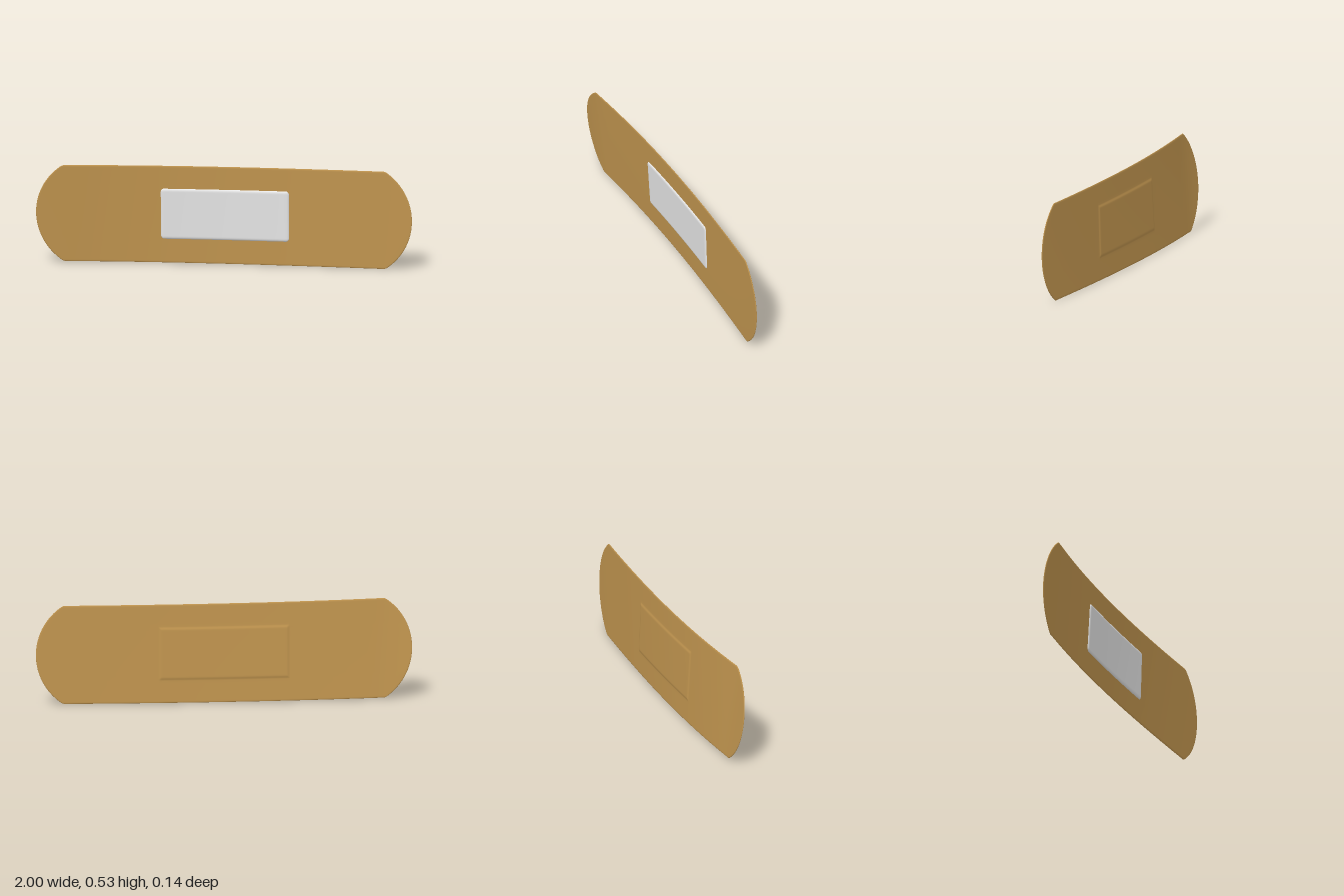
import * as THREE from 'three';
import { mergeVertices } from 'three/addons/utils/BufferGeometryUtils.js';

const clamp01 = (t) => Math.min(1, Math.max(0, t));
const range = (a, b, n) => Array.from({ length: n + 1 }, (_, i) => a + ((b - a) * i) / n);
const mirrored = (list) => [...list.slice(1).reverse().map((v) => -v), ...list];

// Gentle bend along the length, with a twist that fades towards +x
function bend(x, v) {
  const curve = -0.045 - 0.052 * x + 0.0487 * x * x - 0.0107 * x ** 3;
  const tipDroop = 0.4 * Math.max(0, -x - 0.8) ** 2;
  const twist = 0.042 - 0.043 * x + 0.017 * x * x;
  return curve - tipDroop + twist * v;
}

// Closed thin cushion following the bend.
// reach(v): half length at height v; front/back(x, v): offsets from the mid surface
function cushion({ halfHeight, inner, reach, rim, rows, columns, front, back, centerY }) {
  const edgeSteps = [1, 0.6, 0.3, 0.1, 0];
  const vs = mirrored(rows);
  const xsAt = (v) => {
    const end = reach(v);
    const blend = [0.25, 0.5, 0.75].map((t) => inner + (end - rim - inner) * t);
    return mirrored([...columns, ...blend, ...edgeSteps.map((e) => end - rim * e)]);
  };
  const positions = [];
  const index = [];
  const n = xsAt(0).length;
  for (const side of [1, -1]) {
    const start = positions.length / 3;
    vs.forEach((v, j) => {
      xsAt(v).forEach((x, i) => {
        const d = Math.min(halfHeight - Math.abs(v), reach(v) - Math.abs(x));
        const k = Math.sqrt(Math.max(0, 1 - (1 - clamp01(d / rim)) ** 2));
        const offset = side > 0 ? front(x, v) : back(x, v);
        positions.push(x, centerY - 0.003 * x + v, bend(x, v) + offset * k);
        if (i < n - 1 && j < vs.length - 1) {
          const a = start + j * n + i, b = a + 1, c = b + n, e = a + n;
          if (side > 0) index.push(a, b, c, a, c, e);
          else index.push(a, c, b, a, e, c);
        }
      });
    });
  }
  const geometry = new THREE.BufferGeometry();
  geometry.setAttribute('position', new THREE.Float32BufferAttribute(positions, 3));
  geometry.setIndex(index);
  const welded = mergeVertices(geometry, 1e-5);
  welded.computeVertexNormals();
  return welded;
}

export function createModel() {
  const tan = new THREE.MeshStandardMaterial({ color: 0xc1954f });
  tan.name = 'tan';
  const white = new THREE.MeshStandardMaterial({ color: 0xe8e8e8 });
  white.name = 'white';
  const group = new THREE.Group();
  group.name = 'adhesiveBandage';

  const add = (name, geometry, material) => {
    const mesh = new THREE.Mesh(geometry, material);
    mesh.name = name;
    group.add(mesh);
  };

  // Strip: arc ends meeting the long edges in small fillets, pad pressed through the back
  const H = 0.2645;
  const stripReach = (v) => {
    const y = Math.abs(v);
    return y < 0.257
      ? 0.685 + Math.sqrt(0.315 ** 2 - y * y)
      : 0.844 + Math.sqrt(Math.max(0, 0.0016 - (y - 0.2245) ** 2));
  };
  const bulge = (x, v) => {
    const t = clamp01(Math.min(0.35 - Math.abs(x), 0.145 - Math.abs(v)) / 0.018);
    return 0.004 * t * t * (3 - 2 * t);
  };
  add('strip', cushion({
    halfHeight: H, inner: 0.8, reach: stripReach, rim: 0.01, centerY: 0.2675,
    rows: [...range(0, 0.12, 6), ...range(0.127, 0.145, 4), ...range(0.16, 0.24, 5),
      0.25, 0.2545, 0.257, 0.259, 0.261, 0.263, 0.264, H],
    columns: [...range(0, 0.32, 8), ...range(0.332, 0.35, 4), ...range(0.4, 0.8, 10)],
    front: () => 0.003,
    back: (x, v) => -0.003 - bulge(x, v),
  }), tan);

  // Absorbent pad on the front face
  const padH = 0.138, corner = 0.02;
  add('pad', cushion({
    halfHeight: padH, inner: 0.28, rim: 0.016, centerY: 0.27,
    reach: (v) => {
      const over = Math.max(0, Math.abs(v) - (padH - corner));
      return 0.342 - corner + Math.sqrt(Math.max(0, corner ** 2 - over ** 2));
    },
    rows: [...range(0, 0.11, 5), 0.118, 0.122, 0.126, 0.13, 0.133, 0.1355, 0.137, padH],
    columns: range(0, 0.28, 8),
    front: () => 0.0095,
    back: () => -0.001,
  }), white);

  return group;
}
